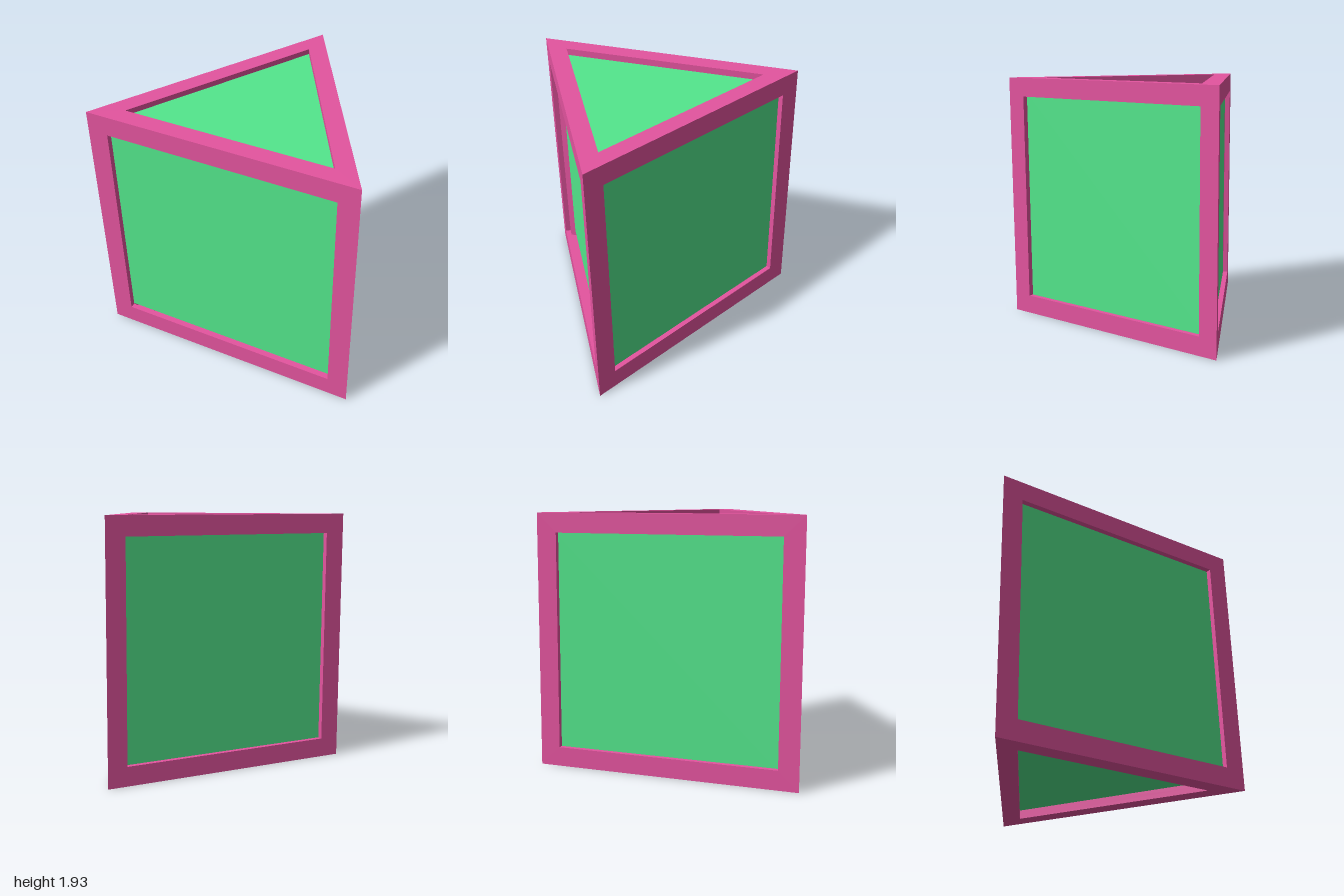
import * as THREE from 'three';

const HEIGHT = 1.935;
const INRADIUS = 1 / Math.sqrt(3); // of the triangle with side 2
const CENTROID_Z = Math.sqrt(3) / 2 - INRADIUS;
const WALL = 0.04; // thickness of the frame
const CORE_SCALE = 0.9; // core size relative to the frame

const pink = new THREE.MeshStandardMaterial({ color: 0xe4549f, side: THREE.DoubleSide });
pink.name = 'framePink';
const green = new THREE.MeshStandardMaterial({ color: 0x54e88d });
green.name = 'coreGreen';

const rect = (w, h) => [[-w, -h], [w, -h], [w, h], [-w, h]].map(([x, y]) => new THREE.Vector2(x, y));
const triangle = (r) => [[-1, -1], [1, -1], [0, 2]].map(([x, y]) => new THREE.Vector2(x * r * Math.sqrt(3), y * r));

// Flat ring between two outlines
function ringGeometry(outer, inner) {
  const shape = new THREE.Shape(outer);
  shape.holes.push(new THREE.Path(inner));
  return new THREE.ShapeGeometry(shape);
}

// Walls of an opening, following its outline counter-clockwise
function wallGeometry(points, depth) {
  const pos = [];
  points.forEach((a, i) => {
    const b = points[(i + 1) % points.length];
    pos.push(a.x, a.y, 0, b.x, b.y, 0, b.x, b.y, -depth);
    pos.push(a.x, a.y, 0, b.x, b.y, -depth, a.x, a.y, -depth);
  });
  const g = new THREE.BufferGeometry();
  g.setAttribute('position', new THREE.Float32BufferAttribute(pos, 3));
  g.computeVertexNormals();
  return g;
}

// One frame side, facing +z: outer border, opening walls and inner border
function createFrameSide(name, outer, cavity, opening) {
  const side = new THREE.Group();
  side.name = name;
  const add = (part, geometry, z = 0) => {
    const mesh = new THREE.Mesh(geometry, pink);
    mesh.name = name + part;
    mesh.position.z = z;
    side.add(mesh);
  };
  add('Border', ringGeometry(outer, opening));
  add('Walls', wallGeometry(opening, WALL));
  add('InnerBorder', ringGeometry(cavity, opening), -WALL);
  return side;
}

export function createModel() {
  const model = new THREE.Group();
  model.name = 'triangularPrism';
  const frame = new THREE.Group();
  frame.name = 'frame';
  frame.position.z = CENTROID_Z;
  model.add(frame);

  // Three upright sides around the centroid
  const h = HEIGHT / 2;
  ['front', 'right', 'left'].forEach((name, i) => {
    const side = createFrameSide(name, rect(1, h), rect(1 - WALL * Math.sqrt(3), h - WALL), rect(0.848, h - 0.147));
    const a = -i * Math.PI * 2 / 3;
    side.rotation.y = a;
    side.position.set(Math.sin(a) * INRADIUS, h, Math.cos(a) * INRADIUS);
    frame.add(side);
  });

  // Triangular ends
  const createEnd = (name) =>
    createFrameSide(name, triangle(INRADIUS), triangle(INRADIUS - WALL), triangle(INRADIUS - 0.132));
  const top = createEnd('top');
  top.rotation.x = -Math.PI / 2;
  top.position.y = HEIGHT;
  const bottom = createEnd('bottom');
  bottom.rotation.set(Math.PI / 2, 0, Math.PI);
  frame.add(top, bottom);

  // Solid prism inside the frame, shrunk about the middle of the model
  const coreHeight = HEIGHT * CORE_SCALE;
  const core = new THREE.Mesh(
    new THREE.ExtrudeGeometry(new THREE.Shape(triangle(INRADIUS * CORE_SCALE)), { depth: coreHeight, bevelEnabled: false }),
    green
  );
  core.name = 'core';
  core.rotation.x = -Math.PI / 2;
  core.position.set(0, (HEIGHT - coreHeight) / 2, CENTROID_Z * CORE_SCALE);
  model.add(core);

  return model;
}
